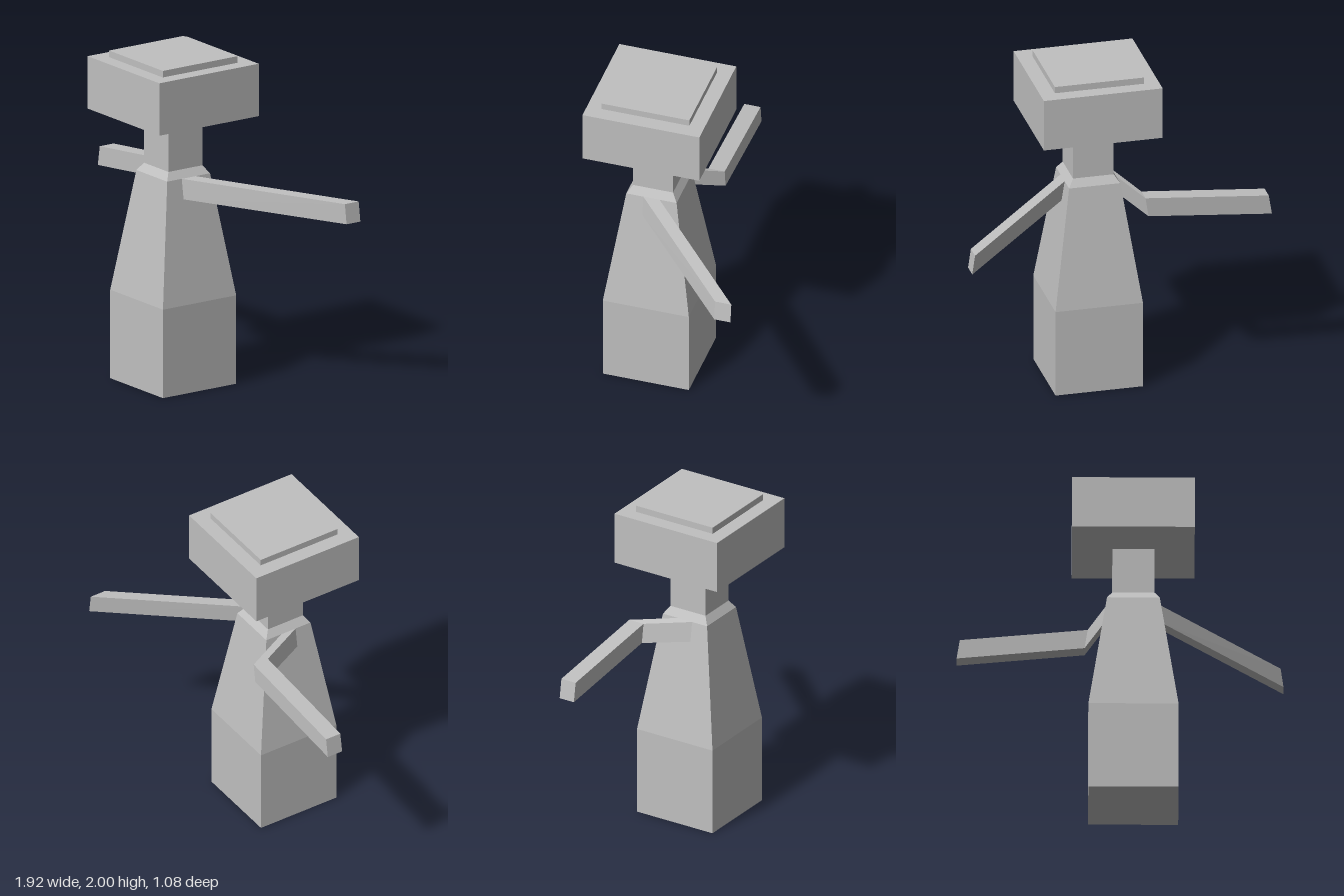
import * as THREE from 'three';

const grey = new THREE.MeshStandardMaterial({ color: 0xc0c0c0, flatShading: true });
grey.name = 'plain grey';

function addMesh(group, name, geometry) {
  const flat = geometry.index ? geometry.toNonIndexed() : geometry;
  flat.computeVertexNormals();
  const mesh = new THREE.Mesh(flat, grey);
  mesh.name = name;
  group.add(mesh);
  return mesh;
}

// Square tower section from [half width, height] pairs, bottom to top
function squareLoft(profile) {
  const points = profile.map(([half, y]) => new THREE.Vector2(half * Math.SQRT2, y));
  return new THREE.LatheGeometry(points, 4, Math.PI / 4);
}

// Bent beam through upright sections [xTop, xBottom, yTop, yBottom, zCentre]
function beam(sections, side) {
  const halfDepth = 0.05;
  const positions = [], index = [];
  for (const [xt, xb, yt, yb, z] of sections) {
    positions.push(
      side * xt, yt, z + halfDepth,
      side * xt, yt, z - halfDepth,
      side * xb, yb, z - halfDepth,
      side * xb, yb, z + halfDepth
    );
  }
  const quad = (a, b, c, d) => {
    if (side > 0) index.push(a, d, c, a, c, b);
    else index.push(a, b, c, a, c, d);
  };
  for (let s = 0; s < sections.length - 1; s++) {
    for (let k = 0; k < 4; k++) {
      const a = s * 4 + k, b = s * 4 + (k + 1) % 4;
      quad(a, b, b + 4, a + 4);
    }
  }
  const end = (sections.length - 1) * 4;
  quad(end, end + 1, end + 2, end + 3);
  const geometry = new THREE.BufferGeometry();
  geometry.setAttribute('position', new THREE.Float32BufferAttribute(positions, 3));
  geometry.setIndex(index);
  return geometry;
}

export function createModel() {
  const model = new THREE.Group();
  model.name = 'blockyFigure';

  // Body, neck and head share one off-centre axis
  const torso = new THREE.Group();
  torso.name = 'torsoAndHead';
  torso.position.set(0.075, 0, 0.18);
  model.add(torso);

  addMesh(torso, 'body', squareLoft([[0, 0], [0.265, 0], [0.265, 0.54], [0.155, 1.278], [0.123, 1.325]]));
  addMesh(torso, 'neck', squareLoft([[0.123, 1.325], [0.123, 1.607]]));
  addMesh(torso, 'head', squareLoft([
    [0.123, 1.607], [0.36, 1.64], [0.36, 1.96], [0.27, 1.96], [0.27, 2], [0, 2]
  ]));

  // Left arm sweeps straight backwards
  addMesh(model, 'leftArm', beam([
    [0.23, 0.249, 1.278, 1.157, 0.18],
    [0.943, 0.96, 1.177, 1.058, -0.487]
  ], 1));

  // Right arm bends at an elbow, then runs outwards
  addMesh(model, 'rightArm', beam([
    [0.08, 0.099, 1.278, 1.157, 0.18],
    [0.192, 0.21, 1.24, 1.122, -0.088],
    [0.943, 0.962, 1.165, 1.046, -0.072]
  ], -1));

  return model;
}
